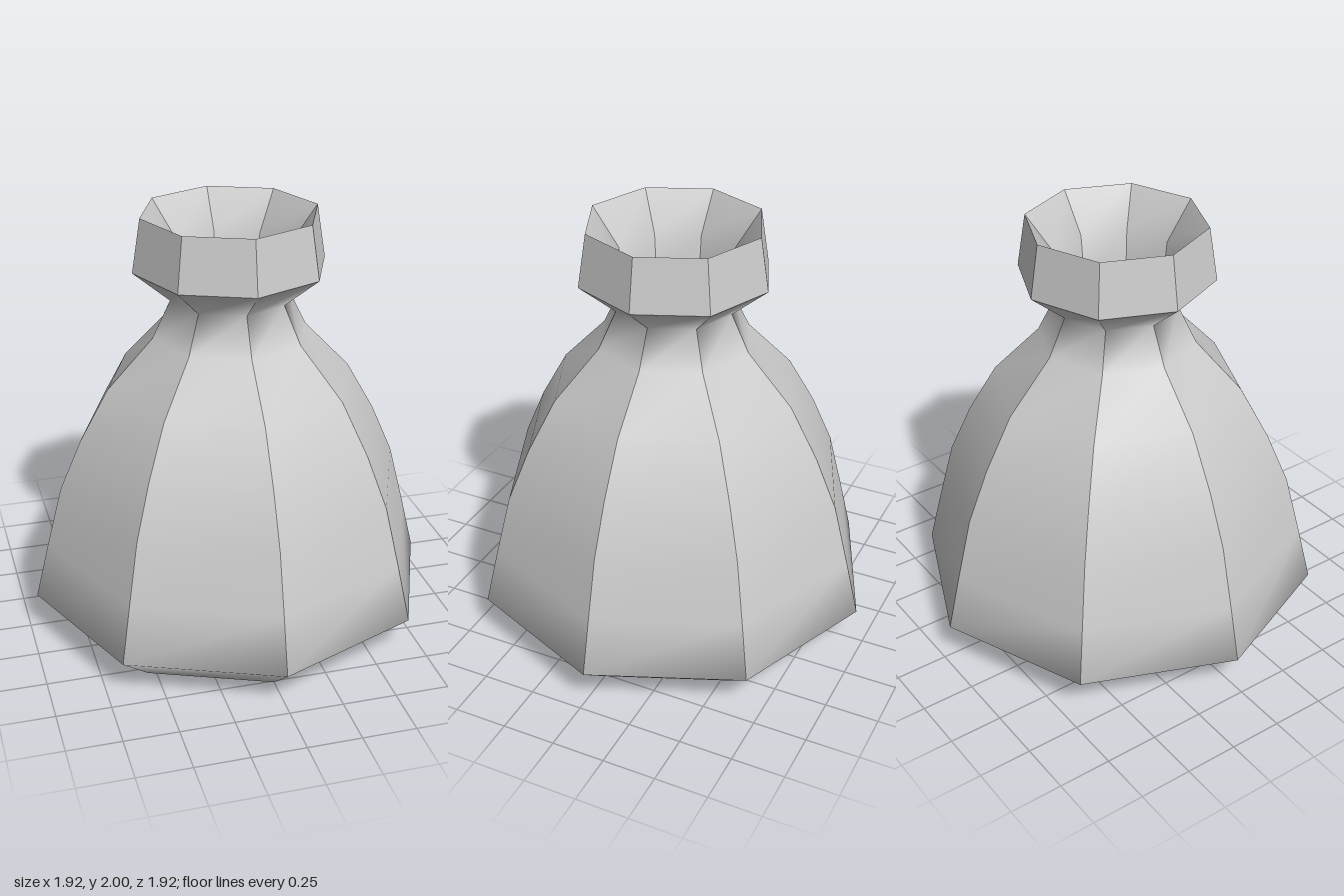
import * as THREE from 'three';
import { mergeGeometries } from 'three/addons/utils/BufferGeometryUtils.js';

const SIDES = 8;

// Eight-sided shell: smooth along the [radius, height] profile, sharp between the sides.
// Profiles run upward for outer walls and downward for inner walls.
function facetedShell(profile) {
  const panels = [];
  for (let s = 0; s < SIDES; s++) {
    const positions = [], index = [];
    profile.forEach(([r, y], row) => {
      for (const k of [s, s + 1]) {
        const a = (k / SIDES) * Math.PI * 2;
        positions.push(r * Math.sin(a), y, r * Math.cos(a));
      }
      if (row > 0) {
        const p = row * 2 - 2;
        index.push(p, p + 1, p + 3, p, p + 3, p + 2);
      }
    });
    const panel = new THREE.BufferGeometry();
    panel.setAttribute('position', new THREE.Float32BufferAttribute(positions, 3));
    panel.setIndex(index);
    panel.computeVertexNormals();
    panels.push(panel);
  }
  return mergeGeometries(panels);
}

// Flat octagon facing up or down
function disc(radius, y, up) {
  return new THREE.CircleGeometry(radius, SIDES)
    .rotateX(up ? -Math.PI / 2 : Math.PI / 2)
    .translate(0, y, 0);
}

export function createModel() {
  const group = new THREE.Group();
  group.name = 'pouch';
  const material = new THREE.MeshStandardMaterial({ color: 0xcccccc });
  const add = (name, geometry) => {
    const mesh = new THREE.Mesh(geometry, material);
    mesh.name = name;
    group.add(mesh);
  };

  // Swelling body, pinched neck and the flare under the collar
  add('body', facetedShell([
    [0.76, 0], [0.96, 0.165], [0.895, 0.43], [0.82, 0.72], [0.715, 0.96],
    [0.58, 1.2], [0.365, 1.43], [0.28, 1.605], [0.45, 1.75],
  ]));
  add('base', disc(0.76, 0, false));

  // Collar with its open mouth
  add('collar', facetedShell([[0.45, 1.75], [0.41, 2]]));
  add('mouth', facetedShell([[0.41, 2], [0.28, 1.82], [0.255, 1.6]]));
  add('mouthFloor', disc(0.255, 1.6, true));

  return group;
}
